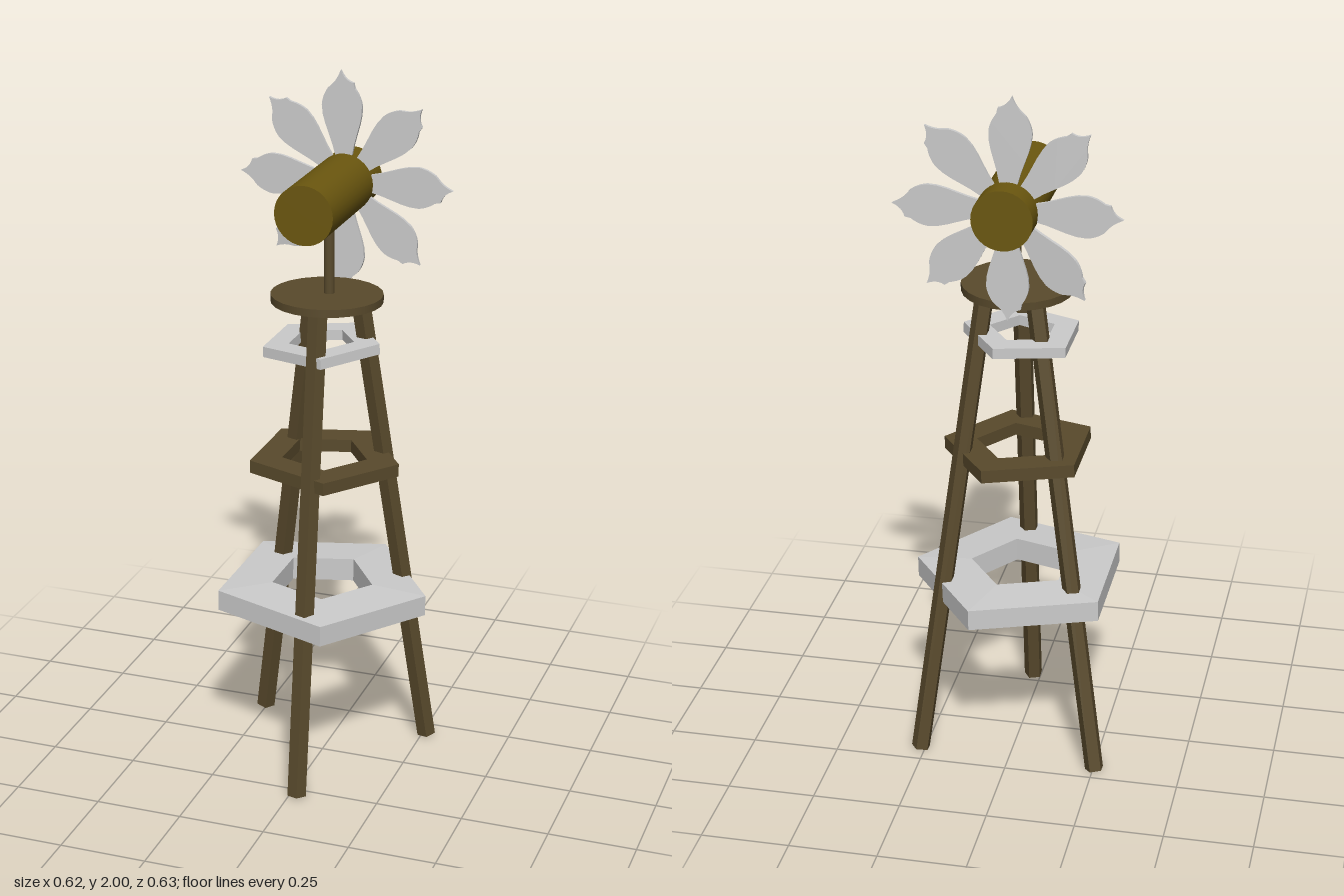
import * as THREE from 'three';

const mat = (color, flatShading = false) => new THREE.MeshStandardMaterial({ color, flatShading });

export function createModel() {
  const model = new THREE.Group();
  model.name = 'windmill';
  const grey = mat(0xcccccc, true);
  const wood = mat(0x594a2c, true);
  const woodSmooth = mat(0x594a2c);
  const gold = mat(0x6b570f);

  const add = (name, geometry, material, x = 0, y = 0, z = 0) => {
    const mesh = new THREE.Mesh(geometry, material);
    mesh.name = name;
    mesh.position.set(x, y, z);
    model.add(mesh);
    return mesh;
  };

  // Three splayed five-sided legs, each from foot to top
  const legs = [
    ['frontLeg', [0.022, 0.01, 0.285], [0.022, 1.4, 0.1]],
    ['backLeftLeg', [0.262, 0.01, -0.19], [0.09, 1.4, -0.06]],
    ['backRightLeg', [-0.255, 0.01, -0.207], [-0.048, 1.4, -0.06]],
  ];
  for (const [name, foot, top] of legs) {
    const a = new THREE.Vector3(...foot), b = new THREE.Vector3(...top);
    const dir = b.clone().sub(a);
    const geo = new THREE.CylinderGeometry(0.0276, 0.0276, dir.length(), 5, 1, false, Math.PI / 2);
    const leg = add(name, geo, wood);
    leg.position.copy(a).add(b).multiplyScalar(0.5);
    leg.quaternion.setFromUnitVectors(new THREE.Vector3(0, 1, 0), dir.normalize());
  }

  // Pentagonal ring with one corner toward +x
  const ring = (name, material, r, inner, h, rise, x, y, z, tilt) => {
    const profile = [[inner, -h / 2], [r, -h / 2], [r, h / 2], [inner, h / 2 + rise], [inner, -h / 2]]
      .map(([px, py]) => new THREE.Vector2(px, py));
    const geo = new THREE.LatheGeometry(profile, 5, Math.PI / 2);
    add(name, geo, material, x, y, z).rotation.z = tilt;
  };
  ring('lowerRing', grey, 0.31, 0.15, 0.06, 0.008, -0.007, 0.519, -0.02, -0.02);
  ring('middleRing', wood, 0.219, 0.125, 0.037, 0, 0, 0.923, -0.02, -0.02);
  ring('upperRing', grey, 0.169, 0.095, 0.03, 0, -0.007, 1.268, -0.015, 0.035);

  // Round platform and post
  add('platform', new THREE.CylinderGeometry(0.156, 0.156, 0.022, 24), woodSmooth, 0.01, 1.41, -0.01)
    .rotation.x = -0.025;
  add('post', new THREE.CylinderGeometry(0.015, 0.015, 0.22, 12), woodSmooth, 0.014, 1.51, -0.016);

  // Barrel-shaped hub, lying along z
  add('hub', new THREE.CylinderGeometry(0.083, 0.083, 0.42, 32), gold, 0, 1.686, -0.057)
    .rotation.x = Math.PI / 2;

  // Petal blade: narrow root, broad shoulders, pointed tip
  const petal = new THREE.Shape();
  petal.moveTo(-0.018, 0.03);
  petal.bezierCurveTo(-0.025, 0.12, -0.06, 0.16, -0.058, 0.215);
  petal.quadraticCurveTo(-0.055, 0.24, -0.039, 0.262);
  petal.lineTo(-0.03, 0.27);
  petal.quadraticCurveTo(-0.012, 0.283, 0, 0.312);
  petal.quadraticCurveTo(0.012, 0.283, 0.036, 0.278);
  petal.lineTo(0.039, 0.262);
  petal.quadraticCurveTo(0.055, 0.24, 0.058, 0.215);
  petal.bezierCurveTo(0.06, 0.16, 0.025, 0.12, 0.018, 0.03);
  petal.closePath();
  const petalGeo = new THREE.ExtrudeGeometry(petal, { depth: 0.01, bevelEnabled: false, curveSegments: 6 });
  petalGeo.translate(0, 0, -0.005);

  // Eight blades around the hub; two are bent slightly back
  const bend = { 2: -0.045, 3: -0.19 };
  for (let i = 0; i < 8; i++) {
    const blade = add('blade' + (i + 1), petalGeo, grey, 0, 1.69, -0.19);
    blade.rotation.set(0, bend[i] ?? 0, i * Math.PI / 4 + (i === 0 ? 0.04 : 0), 'YXZ');
  }
  return model;
}
